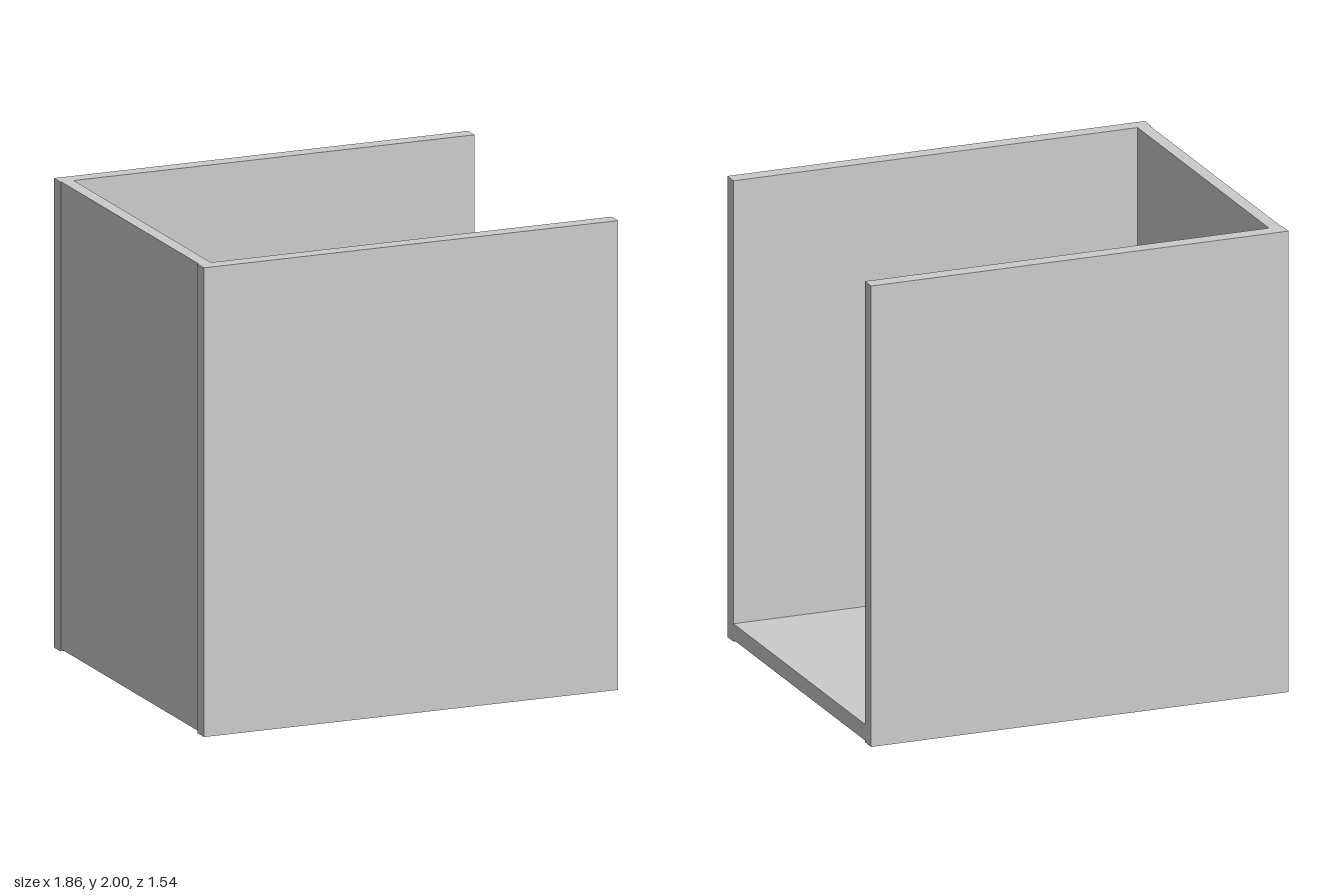
import * as THREE from 'three';

export function createModel() {
  const group = new THREE.Group();
  const material = new THREE.MeshStandardMaterial({ color: 0xcccccc, flatShading: true });

  // Box panel given by its extents on each axis
  function panel(name, [x0, x1], [y0, y1], [z0, z1]) {
    const mesh = new THREE.Mesh(new THREE.BoxGeometry(x1 - x0, y1 - y0, z1 - z0), material);
    mesh.position.set((x0 + x1) / 2, (y0 + y1) / 2, (z0 + z1) / 2);
    mesh.name = name;
    group.add(mesh);
  }

  const inner = 0.705, outer = 0.772;

  // Two large panels, full height and depth
  panel('frontPanel', [-0.93, 0.93], [0, 2], [inner, outer]);
  panel('backPanel', [-0.93, 0.93], [0, 2], [-outer, -inner]);

  // Floor and end wall, set in slightly between the panels
  panel('floor', [-0.925, 0.93], [0.008, 0.078], [-inner, inner]);
  panel('endWall', [-0.925, -0.87], [0.078, 2], [-inner, inner]);

  return group;
}
